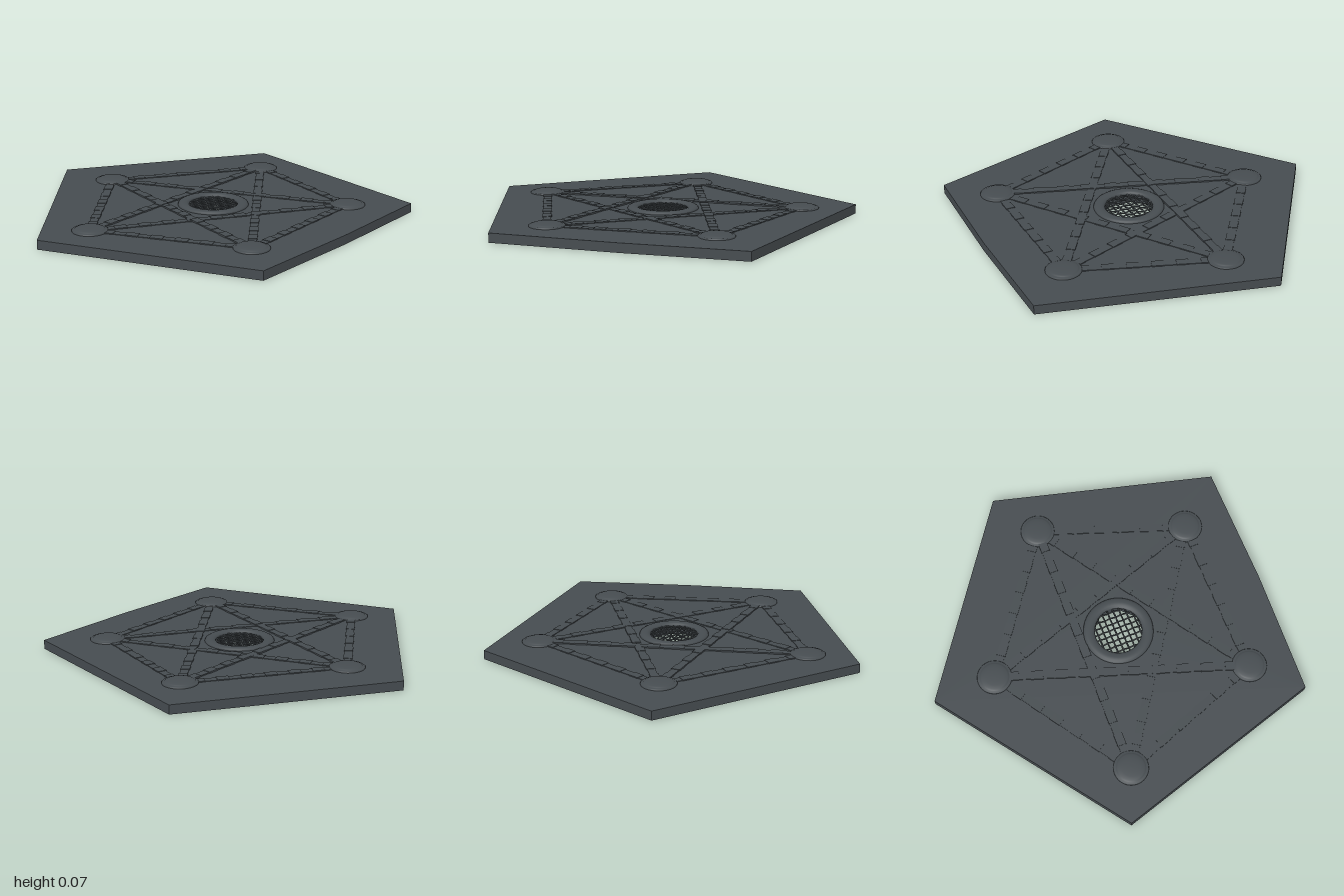
import * as THREE from 'three';

export function createModel() {
  const model = new THREE.Group();
  const stone = new THREE.MeshStandardMaterial({ color: 0x464c50 });
  stone.name = 'dark slate';
  const TOP = 0.05, CX = 0.11, CZ = -0.015;

  const add = (parent, name, geometry, x = 0, y = 0, z = 0) => {
    const mesh = new THREE.Mesh(geometry, stone);
    mesh.name = name;
    mesh.position.set(x, y, z);
    parent.add(mesh);
    return mesh;
  };
  const group = (name) => {
    const g = new THREE.Group();
    g.name = name;
    model.add(g);
    return g;
  };

  // Five-sided slab with an octagonal drain hole
  const corners = [[-0.25, -1], [0.95, -0.68], [0.95, -0.02], [0.92, 0.66], [-0.23, 1], [-0.955, -0.01]];
  const outline = new THREE.Shape(corners.map(([x, z]) => new THREE.Vector2(x, -z)));
  const hole = [];
  for (let i = 0; i < 8; i++) {
    const a = (i + 0.5) * Math.PI / 4;
    hole.push(new THREE.Vector2(CX + 0.14 * Math.cos(a), -CZ + 0.14 * Math.sin(a)));
  }
  outline.holes.push(new THREE.Path(hole));
  const slab = new THREE.ExtrudeGeometry(outline, { depth: TOP, bevelEnabled: false });
  slab.rotateX(-Math.PI / 2);
  add(model, 'slab', slab);

  // Low rounded rim around the drain
  const rim = new THREE.TorusGeometry(0.16, 0.031, 12, 48);
  rim.rotateX(Math.PI / 2);
  rim.scale(1, 0.5, 1);
  add(model, 'drainRim', rim, CX, TOP, CZ);

  // Woven grate in the drain
  const grate = group('grate');
  const pitch = 0.032, count = 8;
  for (let i = 0; i < count; i++) {
    const offset = (i - (count - 1) / 2) * pitch;
    const half = Math.sqrt(0.14 ** 2 - offset ** 2);
    for (const along of [0, 1]) {
      const points = [];
      for (let k = 0; k <= 24; k++) {
        const t = -half + (2 * half * k) / 24;
        const wave = 0.004 * Math.sin(Math.PI * (t / pitch + i + along));
        points.push(along ? new THREE.Vector3(offset, wave, t) : new THREE.Vector3(t, wave, offset));
      }
      const wire = new THREE.TubeGeometry(new THREE.CatmullRomCurve3(points), 32, 0.0045, 6);
      add(grate, 'grateWire', wire, CX, 0.047, CZ);
    }
  }

  // Shallow domed studs, each in a collar
  const studs = [[-0.085, -0.73], [0.69, -0.45], [0.69, 0.435], [-0.12, 0.725], [-0.61, -0.015]];
  const studProfile = [[0.094, 0], [0.094, 0.005], [0.09, 0.008], [0.081, 0.008], [0.079, 0.011],
    [0.07, 0.015], [0.05, 0.0175], [0.025, 0.0188], [0, 0.019]].map(([r, y]) => new THREE.Vector2(r, y));
  const studGroup = group('studs');
  for (const [x, z] of studs) add(studGroup, 'stud', new THREE.LatheGeometry(studProfile, 32), x, TOP, z);

  // Segmented raised strips joining every pair of studs
  const strips = group('strips');
  for (let i = 0; i < 5; i++) {
    for (let j = i + 1; j < 5; j++) {
      const [ax, az] = studs[i], [bx, bz] = studs[j];
      const length = Math.hypot(bx - ax, bz - az);
      const strip = new THREE.Group();
      strip.name = 'strip';
      strip.position.set((ax + bx) / 2, TOP, (az + bz) / 2);
      strip.rotation.y = Math.atan2(bx - ax, bz - az);
      const bold = (i === 0 && j === 3) || (i === 2 && j === 4);
      const n = Math.round(length / 0.065), step = length / n;
      for (let k = 0; k < n; k++) {
        const h = (bold ? 0.006 : 0.003) + (k % 2 ? 0.0025 : 0);
        const w = k % 2 ? 0.048 : 0.042;
        const zPos = (k + 0.5) * step - length / 2;
        add(strip, 'stripSegment', new THREE.BoxGeometry(w, h, step), 0, h / 2, zPos);
      }
      strips.add(strip);
    }
  }
  return model;
}
